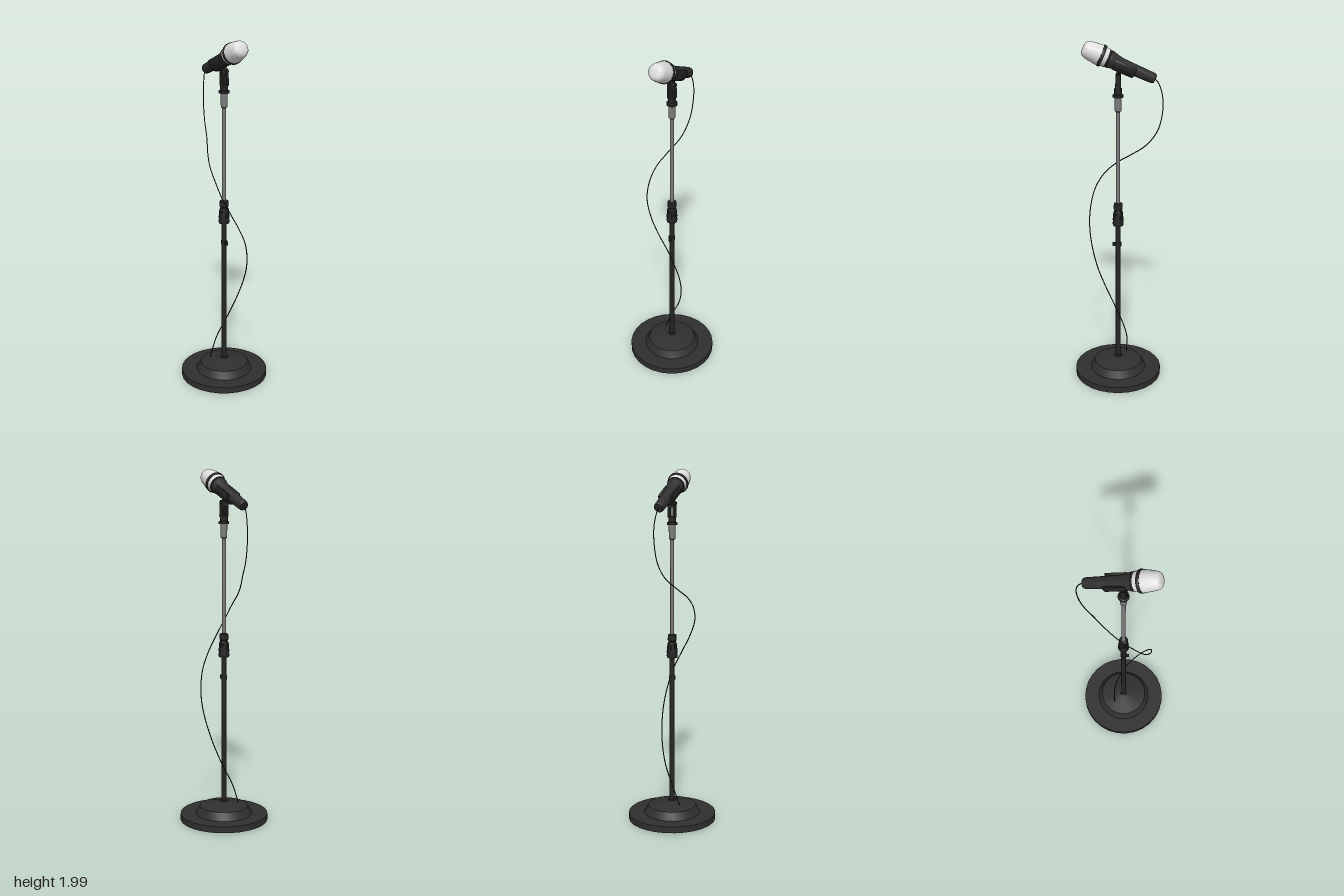
import * as THREE from 'three';
import { toCreasedNormals } from 'three/addons/utils/BufferGeometryUtils.js';

const mat = (name, color) => new THREE.MeshStandardMaterial({ name, color });

export function createModel() {
  const black = mat('matte black', 0x2f2f2f);
  const rubber = mat('dark rubber', 0x242424);
  const steel = mat('brushed steel', 0x7c7c7c);
  const silver = mat('silver grille', 0xdedede);

  const model = new THREE.Group();
  model.name = 'microphoneStand';

  const add = (parent, name, geometry, material, x = 0, y = 0, z = 0) => {
    const mesh = new THREE.Mesh(geometry, material);
    mesh.name = name;
    mesh.position.set(x, y, z);
    parent.add(mesh);
    return mesh;
  };
  // Turned part from [radius, height] pairs, listed bottom to top
  const turned = (profile, sides = 24) => toCreasedNormals(
    new THREE.LatheGeometry(profile.map(([r, y]) => new THREE.Vector2(r, y)), sides), 0.5);

  // Weighted base with its stepped, sloping centre
  add(model, 'basePlate', turned([[0, 0], [0.25, 0], [0.25, 0.036], [0, 0.036]], 28), black);
  add(model, 'baseDome', turned(
    [[0.162, 0.035], [0.158, 0.042], [0.138, 0.08], [0.022, 0.104], [0.022, 0.112], [0, 0.112]], 28), black);

  // Telescopic pole
  add(model, 'lowerPole', turned([[0.0145, 0.1], [0.0145, 0.96]], 16), rubber);
  add(model, 'upperPole', turned([[0.0115, 1.05], [0.0115, 1.62]], 16), steel);
  add(model, 'poleSleeve', turned(
    [[0.0115, 1.603], [0.018, 1.61], [0.019, 1.69], [0, 1.69]], 16), steel);

  // Height clutch: flared grip, groove and locking collar
  add(model, 'heightClutch', turned([
    [0.014, 0.945], [0.029, 0.945], [0.031, 0.957], [0.029, 0.968], [0.029, 0.975],
    [0.024, 1.03], [0.021, 1.034], [0.021, 1.04], [0.025, 1.044], [0.024, 1.075], [0.011, 1.08],
  ]), rubber);
  for (let i = 0; i < 12; i++) {
    const a = (i / 12) * Math.PI * 2;
    const rib = add(model, 'clutchRib', new THREE.BoxGeometry(0.005, 0.05, 0.004), rubber,
      Math.sin(a) * 0.0265, 1.0, Math.cos(a) * 0.0265);
    rib.rotation.set(-0.09, a, 0, 'YXZ');
  }

  // Cable clip on the lower pole
  add(model, 'cableClipRing', turned([[0.014, 0.818], [0.0185, 0.818], [0.0185, 0.838], [0.014, 0.838]], 16), rubber);
  add(model, 'cableClipTab', new THREE.BoxGeometry(0.012, 0.02, 0.018), rubber, 0, 0.828, 0.023);

  // Swivel mount: threaded collar, forked stem, lug and bolt
  add(model, 'mountCollar', turned([
    [0, 1.685], [0.029, 1.685], [0.029, 1.698], [0.021, 1.702], [0.021, 1.732], [0, 1.732]]), rubber);
  for (const side of [-1, 1]) {
    const prong = new THREE.Shape();
    prong.moveTo(-0.016, 1.725);
    prong.lineTo(0.016, 1.725);
    prong.lineTo(0.013, 1.802);
    prong.absarc(0, 1.802, 0.013, 0, Math.PI, false);
    prong.closePath();
    add(model, 'forkProng', new THREE.ExtrudeGeometry(prong, { depth: 0.012, bevelEnabled: false, curveSegments: 8 })
      .rotateY(Math.PI / 2), rubber, side * 0.0145 - 0.006, 0, 0);
  }
  add(model, 'pivotLug', new THREE.BoxGeometry(0.018, 0.06, 0.022), rubber, 0, 1.81, -0.003);
  add(model, 'pivotBolt', new THREE.CylinderGeometry(0.008, 0.008, 0.05, 12).rotateZ(Math.PI / 2), rubber, 0, 1.802, 0);

  // Microphone, built along its own axis from tail to tip, then tilted
  const mic = new THREE.Group();
  mic.name = 'microphone';
  mic.position.set(0, 1.783, -0.196);
  mic.rotation.x = 1.152;
  model.add(mic);
  add(mic, 'handle', turned([
    [0, 0], [0.023, 0], [0.027, 0.006], [0.0285, 0.015], [0.033, 0.19], [0.036, 0.215],
    [0.045, 0.25], [0.048, 0.262], [0.048, 0.268], [0.046, 0.27],
    [0.046, 0.273], [0.05, 0.275], [0.05, 0.281], [0, 0.281]], 28), black);
  add(mic, 'lowerGrille', turned([[0.05, 0.28], [0.054, 0.303]], 28), silver);
  add(mic, 'grilleRing', turned([
    [0.05, 0.301], [0.057, 0.301], [0.059, 0.305], [0.059, 0.315], [0.057, 0.319], [0.05, 0.319]], 28), rubber);
  add(mic, 'upperGrille', turned([
    [0.056, 0.318], [0.0545, 0.34], [0.051, 0.365], [0.0465, 0.39], [0.043, 0.401],
    [0.037, 0.409], [0.028, 0.414], [0.015, 0.417], [0, 0.418]], 28), silver);

  // Open cradle gripping the handle from below
  const rad = THREE.MathUtils.degToRad;
  const cradle = new THREE.Shape();
  cradle.absarc(0, 0, 0.043, rad(155), rad(385), false);
  cradle.absarc(0, 0, 0.031, rad(385), rad(155), true);
  cradle.closePath();
  const cradleGeometry = new THREE.ExtrudeGeometry(cradle, {
    depth: 0.112, curveSegments: 20, bevelEnabled: true, bevelSize: 0.002, bevelThickness: 0.004, bevelSegments: 1,
  }).rotateX(-Math.PI / 2);
  add(mic, 'clipCradle', toCreasedNormals(cradleGeometry, 0.5), rubber, 0, 0.118, 0);

  // Cable leaving the tail and winding down round the pole
  const path = [
    [0, 1.79, -0.185], [0.002, 1.765, -0.212], [0.008, 1.70, -0.235], [0.008, 1.62, -0.24],
    [0, 1.5, -0.215], [-0.02, 1.41, -0.155], [-0.065, 1.335, -0.065], [-0.092, 1.285, 0.005],
    [-0.1, 1.22, 0.075], [-0.088, 1.14, 0.125], [-0.05, 1.05, 0.152], [0, 0.955, 0.16],
    [0.05, 0.85, 0.148], [0.08, 0.725, 0.117], [0.087, 0.62, 0.078], [0.07, 0.47, 0.018],
    [0.03, 0.33, -0.03], [-0.02, 0.22, -0.052], [-0.065, 0.1, -0.05],
  ].map((p) => new THREE.Vector3(...p));
  add(model, 'cable', new THREE.TubeGeometry(new THREE.CatmullRomCurve3(path), 120, 0.003, 6), rubber);

  return model;
}
